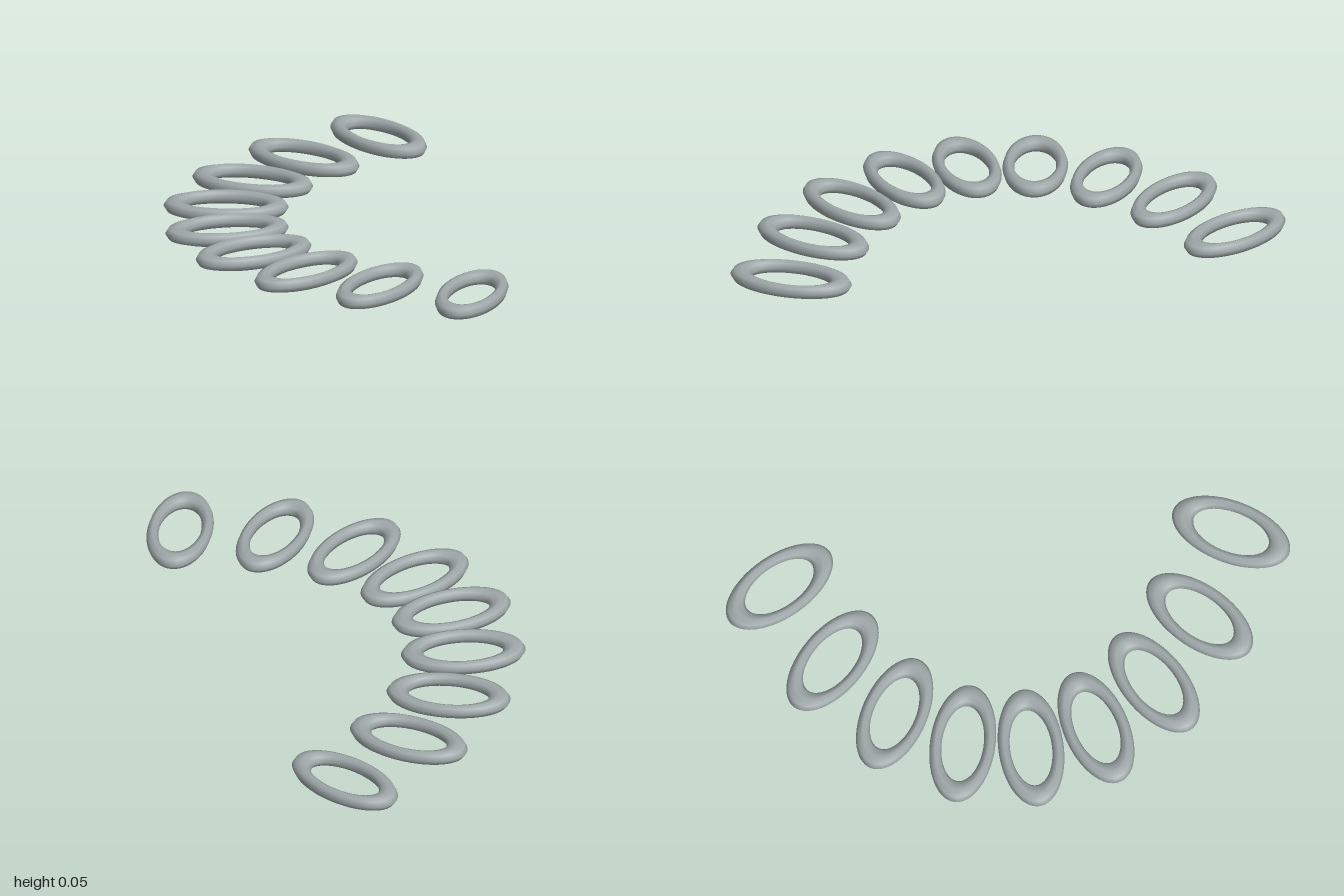
import * as THREE from 'three';

// Arc of flat-lying oval rings, mirrored front to back
export function createModel() {
  const group = new THREE.Group();
  const steel = new THREE.MeshStandardMaterial({ color: 0x9fa8a9 });
  steel.name = 'steel grey';

  // One oval ring: an eight-sided tube laid flat and stretched along x
  const tube = 0.18;
  const height = 0.052;
  const ringGeometry = new THREE.TorusGeometry(1 - tube, tube, 8, 64);
  ringGeometry.rotateX(-Math.PI / 2);
  ringGeometry.scale(0.22, height / (2 * tube), 0.115);

  function addRing(name, x, z, degrees) {
    const ring = new THREE.Mesh(ringGeometry, steel);
    ring.name = name;
    ring.position.set(x, height / 2, z);
    ring.rotation.y = THREE.MathUtils.degToRad(degrees);
    group.add(ring);
  }

  // Centre ring, then pairs turning 15 degrees further each step
  addRing('middleRing', -0.32, 0, 0);
  const centres = [[-0.274, 0.236], [-0.132, 0.459], [0.092, 0.65], [0.391, 0.8]];
  centres.forEach(([x, z], i) => {
    const angle = 15 * (i + 1);
    addRing(`frontRing${i + 1}`, x, z, angle);
    addRing(`backRing${i + 1}`, x, -z, -angle);
  });

  return group;
}
